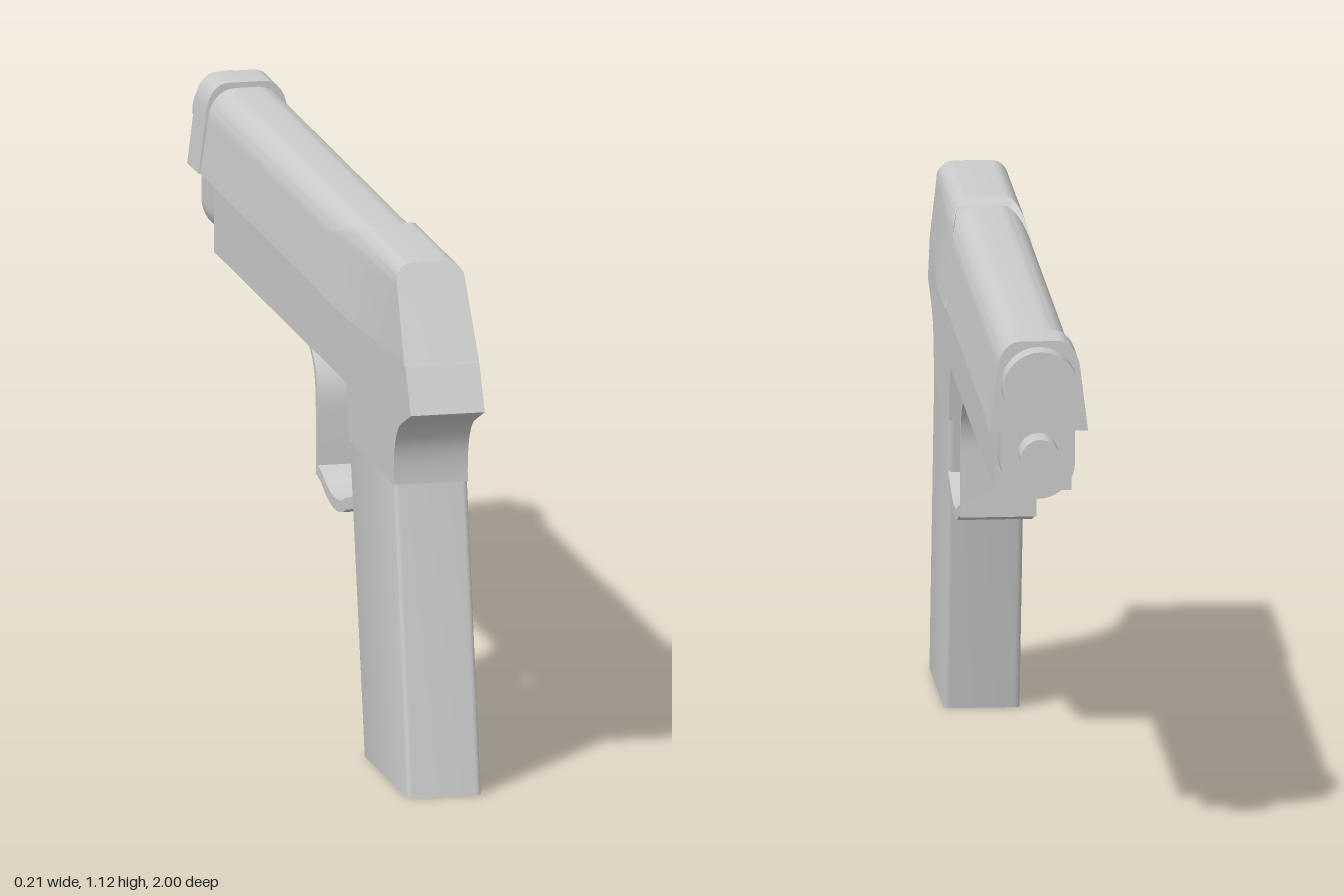
import * as THREE from 'three';
import { toCreasedNormals } from 'three/addons/utils/BufferGeometryUtils.js';

const material = new THREE.MeshStandardMaterial({ color: 0xcccccc });
const { lerp, mapLinear, clamp } = THREE.MathUtils;

function part(name, geometry, crease = 0.5) {
  const mesh = new THREE.Mesh(toCreasedNormals(geometry, crease), material);
  mesh.name = name;
  return mesh;
}

// Side profile drawn in (z, y), given thickness across x
function acrossX(shape, half) {
  return new THREE.ExtrudeGeometry(shape, { depth: half * 2, bevelEnabled: false, curveSegments: 10 })
    .translate(0, 0, -half).rotateY(-Math.PI / 2);
}

// Cross-section drawn in (x, y), run along z
function alongZ(shape, z0, z1, steps = 1) {
  return new THREE.ExtrudeGeometry(shape, { depth: z1 - z0, steps, bevelEnabled: false, curveSegments: 10 })
    .translate(0, 0, z0);
}

function moveVertices(geometry, rule) {
  const p = geometry.attributes.position;
  const v = new THREE.Vector3();
  for (let i = 0; i < p.count; i++) {
    rule(v.fromBufferAttribute(p, i));
    p.setXYZ(i, v.x, v.y, v.z);
  }
  return geometry;
}

// Flared sides with a rounded, flat-topped crown
function slideSection(base, side, shoulder, top, flat) {
  const s = new THREE.Shape();
  s.moveTo(-base, 0.93);
  s.lineTo(base, 0.93);
  s.lineTo(side, shoulder);
  s.bezierCurveTo(side - 0.003, lerp(shoulder, top, 0.6), lerp(side, flat, 0.5), top, flat, top);
  s.lineTo(-flat, top);
  s.bezierCurveTo(-lerp(side, flat, 0.5), top, -side + 0.003, lerp(shoulder, top, 0.6), -side, shoulder);
  s.closePath();
  return s;
}

function rod(name, radius, y, z0, z1) {
  return part(name, new THREE.CylinderGeometry(radius, radius, z1 - z0, 32)
    .rotateX(Math.PI / 2).translate(0, y, (z0 + z1) / 2));
}

export function createModel() {
  const model = new THREE.Group();
  model.name = 'pistol';

  // Frame with rear tang and the top of the grip
  const frame = new THREE.Shape();
  frame.moveTo(-0.8, 0.93);
  frame.lineTo(-0.8, 0.77);
  frame.lineTo(0.41, 0.77);
  frame.lineTo(0.435, 0.65);
  frame.lineTo(0.844, 0.65);
  frame.bezierCurveTo(0.84, 0.73, 0.86, 0.77, 0.905, 0.795);
  frame.lineTo(1, 0.835);
  frame.lineTo(0.95, 0.93);
  frame.closePath();
  model.add(part('frame', acrossX(frame, 0.08)));

  // Hollow grip, open at the bottom and leaning back
  const ring = new THREE.Shape();
  const w = 0.08, r = 0.012;
  ring.moveTo(-w + r, 0);
  ring.lineTo(w - r, 0);
  ring.quadraticCurveTo(w, 0, w, r * 2);
  ring.lineTo(w, 1 - r * 2);
  ring.quadraticCurveTo(w, 1, w - r, 1);
  ring.lineTo(-w + r, 1);
  ring.quadraticCurveTo(-w, 1, -w, 1 - r * 2);
  ring.lineTo(-w, r * 2);
  ring.quadraticCurveTo(-w, 0, -w + r, 0);
  const well = new THREE.Path();
  well.moveTo(-0.068, 0.035);
  well.lineTo(-0.068, 0.965);
  well.lineTo(0.068, 0.965);
  well.lineTo(0.068, 0.035);
  well.closePath();
  ring.holes.push(well);
  const grip = new THREE.ExtrudeGeometry(ring, { depth: 0.65, bevelEnabled: false, curveSegments: 5 });
  grip.rotateX(Math.PI / 2).translate(0, 0.65, 0);
  moveVertices(grip, (v) => {
    const t = v.y / 0.65;
    v.z = lerp(lerp(0.57, 0.435, t), lerp(0.97, 0.844, t), v.z);
  });
  model.add(part('grip', grip));

  // Trigger guard
  const guard = new THREE.Shape();
  guard.moveTo(0.05, 0.775);
  guard.bezierCurveTo(0.11, 0.76, 0.13, 0.71, 0.13, 0.65);
  guard.lineTo(0.13, 0.508);
  guard.lineTo(0.18, 0.5);
  guard.bezierCurveTo(0.26, 0.462, 0.34, 0.462, 0.41, 0.495);
  guard.lineTo(0.47, 0.51);
  guard.lineTo(0.465, 0.535);
  guard.lineTo(0.4, 0.518);
  guard.bezierCurveTo(0.34, 0.488, 0.26, 0.488, 0.19, 0.521);
  guard.lineTo(0.15, 0.53);
  guard.lineTo(0.15, 0.65);
  guard.bezierCurveTo(0.15, 0.72, 0.12, 0.765, 0.06, 0.78);
  guard.closePath();
  model.add(part('triggerGuard', acrossX(guard, 0.08)));

  // Trigger
  const trigger = new THREE.Shape([[0.348, 0.78], [0.32, 0.78], [0.26, 0.6], [0.288, 0.59]]
    .map(([z, y]) => new THREE.Vector2(z, y)));
  model.add(part('trigger', acrossX(trigger, 0.03)));

  // Slide and its muzzle band
  model.add(part('slide', alongZ(slideSection(0.1, 0.083, 1.05, 1.112, 0.025), -0.85, 0.45)));
  model.add(part('muzzleBand', alongZ(slideSection(0.104, 0.088, 1.06, 1.124, 0.04), -0.945, -0.84)));

  // Rear of the slide: ramped front, tapering sides, sloping back
  const rear = alongZ(slideSection(0.102, 0.083, 1.06, 1.124, 0.04), 0, 3, 3);
  moveVertices(rear, (v) => {
    const station = Math.round(v.z);
    const up = clamp(mapLinear(v.y, 1.06, 1.124, 0, 1), 0, 1);
    const back = v.y > 1.06 ? lerp(0.862, 0.825, up) : mapLinear(v.y, 0.93, 1.06, 0.945, 0.862);
    v.z = [lerp(0.27, 0.47, up), 0.48, 0.82, back][station];
    if (station > 1) v.x = clamp(v.x, -mapLinear(v.y, 0.93, 1.06, 0.081, 0.075), mapLinear(v.y, 0.93, 1.06, 0.081, 0.075));
  });
  model.add(part('slideRear', rear));

  // Round-bottomed housing under the muzzle
  const housing = new THREE.Shape();
  housing.moveTo(0.078, 0.935);
  housing.lineTo(-0.078, 0.935);
  housing.lineTo(-0.078, 0.858);
  housing.absarc(0, 0.858, 0.078, Math.PI, Math.PI * 2, false);
  housing.closePath();
  model.add(part('rodHousing', alongZ(housing, -0.925, -0.79)));

  // Barrel and guide rod
  model.add(rod('barrel', 0.08, 1.032, -1, -0.9));
  model.add(rod('guideRod', 0.042, 0.88, -0.995, -0.9));
  return model;
}
